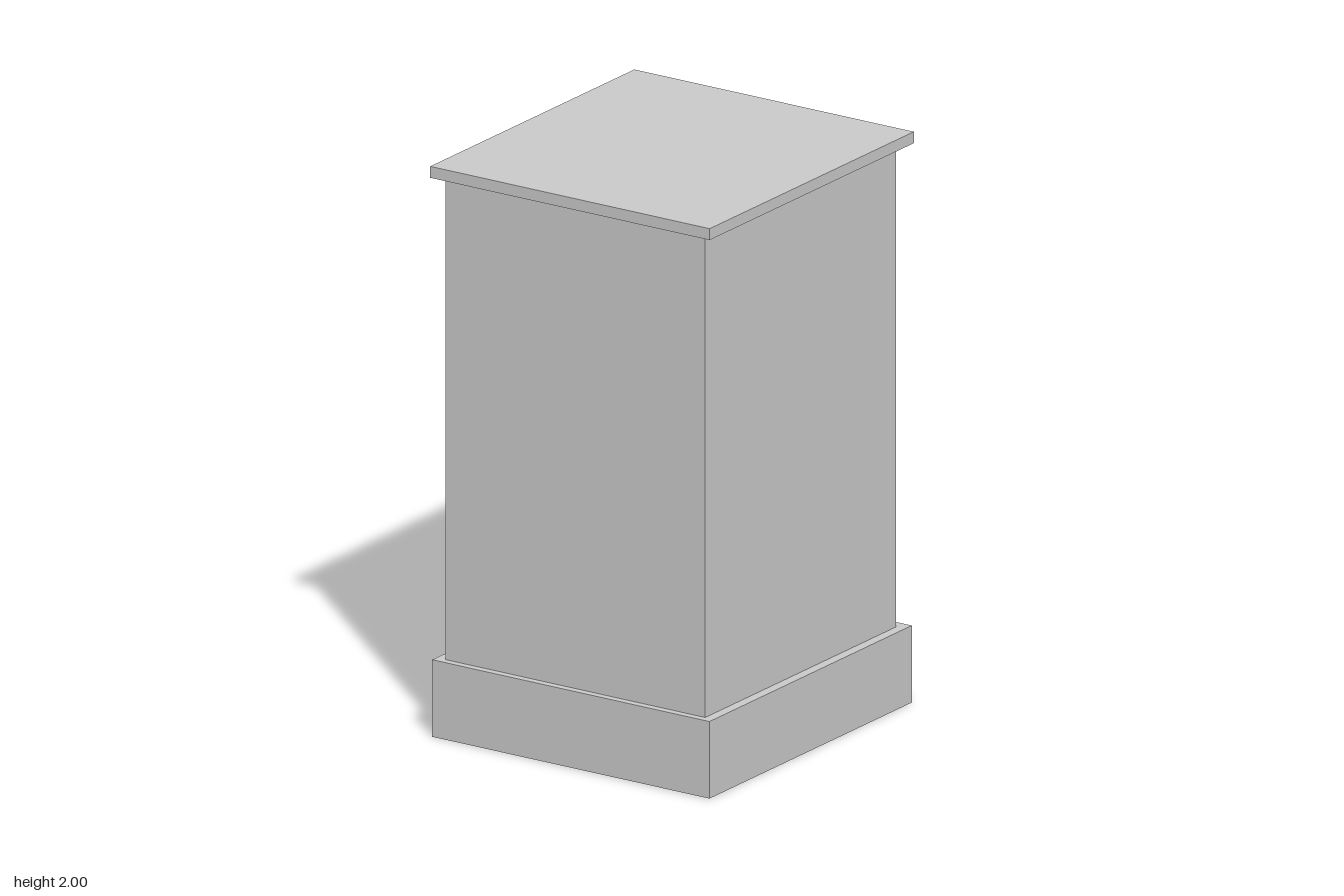
import * as THREE from 'three';

const material = new THREE.MeshStandardMaterial({ color: 0xcccccc });

export function createModel() {
  const cabinet = new THREE.Group();
  cabinet.name = 'bedsideCabinet';

  const add = (name, geometry, x, y, z) => {
    const mesh = new THREE.Mesh(geometry, material);
    mesh.name = name;
    mesh.position.set(x, y, z);
    cabinet.add(mesh);
    return mesh;
  };
  // Box given by its width, lower and upper y, and back and front z
  const block = (name, w, y0, y1, z0, z1) =>
    add(name, new THREE.BoxGeometry(w, y1 - y0, z1 - z0), 0, (y0 + y1) / 2, (z0 + z1) / 2);

  const faceZ = -0.553; // carcass face that carries the drawer and door
  const panelZ = -0.578; // outer face of the drawer and door

  // Carcass, plinth and top
  block('plinth', 1.114, 0, 0.27, -0.593, 0.593);
  block('carcass', 1.044, 0.27, 1.96, faceZ, 0.567);
  block('top', 1.123, 1.96, 2, -0.5985, 0.5985);

  // Drawer front
  block('drawerFront', 0.88, 1.545, 1.875, panelZ, faceZ);

  // Door: a frame around a recessed panel
  const rect = (P, hw, y0, y1) => {
    const p = new P();
    p.moveTo(-hw, y0).lineTo(hw, y0).lineTo(hw, y1).lineTo(-hw, y1).closePath();
    return p;
  };
  const frame = rect(THREE.Shape, 0.44, 0.415, 1.375);
  frame.holes.push(rect(THREE.Path, 0.316, 0.54, 1.25));
  add('doorFrame', new THREE.ExtrudeGeometry(frame, { depth: faceZ - panelZ, bevelEnabled: false }), 0, 0, panelZ);
  block('doorPanel', 0.632, 0.54, 1.25, panelZ + 0.018, faceZ);

  // Round knobs
  for (const [name, x, y] of [['drawerKnob', 0, 1.71], ['doorKnob', 0.382, 0.896]]) {
    add(name, new THREE.CylinderGeometry(0.042, 0.042, 0.033, 32), x, y, panelZ - 0.0165).rotation.x = -Math.PI / 2;
  }

  // The whole cabinet stands slightly turned
  cabinet.rotation.y = 0.058;
  const model = new THREE.Group();
  model.add(cabinet);
  return model;
}
